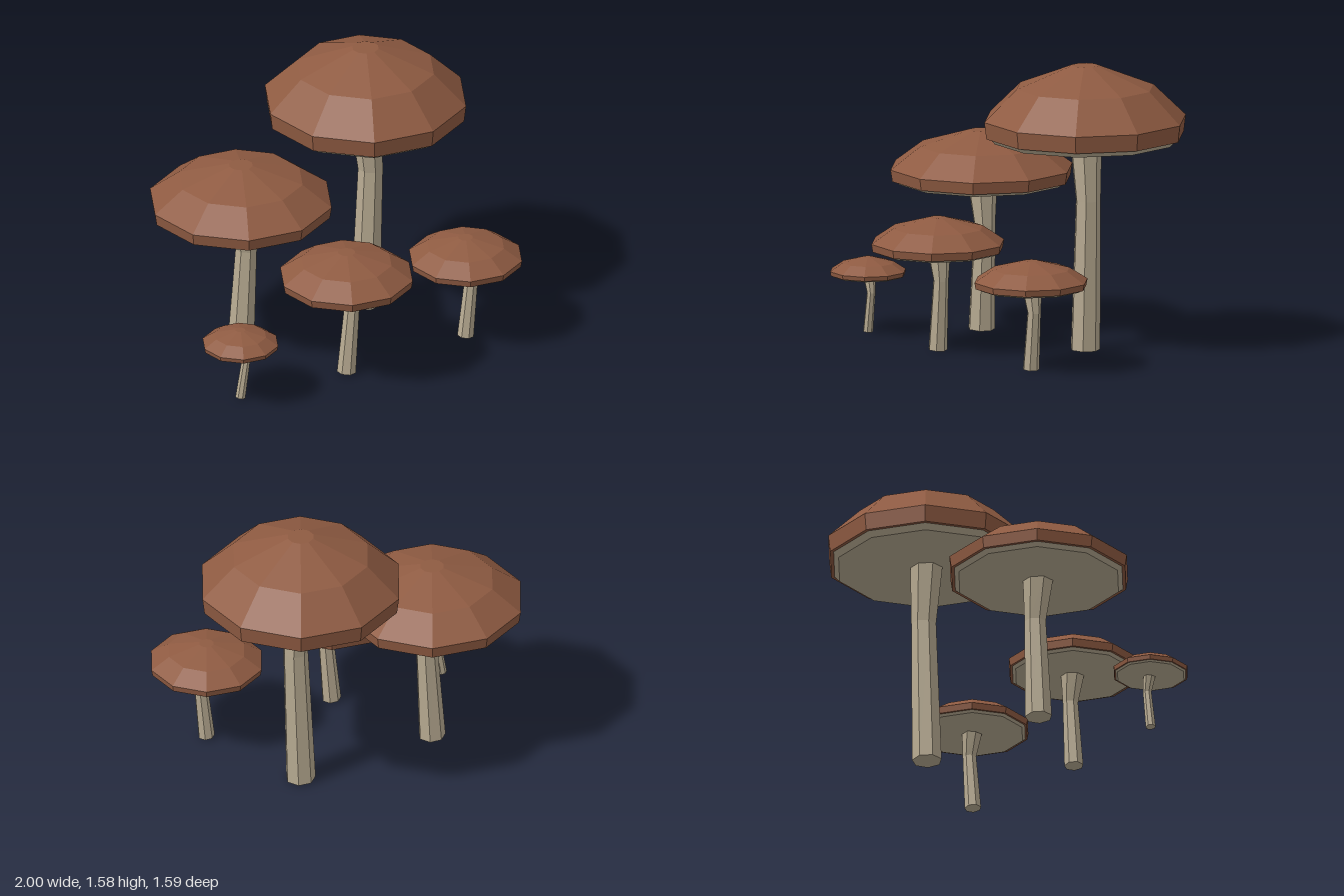
import * as THREE from 'three';

const capBrown = new THREE.MeshStandardMaterial({ color: 0x8f5b42 });
const stemCream = new THREE.MeshStandardMaterial({ color: 0xb8ab92 });

// Faceted normals: every triangle keeps its own
function faceted(geometry) {
  const g = geometry.toNonIndexed();
  g.computeVertexNormals();
  return g;
}

// Ten-sided turned solid with a corner towards +x
function turned(profile) {
  const points = profile.map(([r, y]) => new THREE.Vector2(r, y));
  return faceted(new THREE.LatheGeometry(points, 10, Math.PI / 2));
}

// Seven-sided stem through three rings, each square to the stem's lean
function bentStem(rings) {
  const g = new THREE.CylinderGeometry(1, 1, 2, 7, 2);
  const p = g.attributes.position;
  for (let i = 0; i < p.count; i++) {
    const k = Math.round(p.getY(i)) + 1;
    const { x, y, r } = rings[k];
    const a = rings[Math.max(k - 1, 0)], b = rings[Math.min(k + 1, 2)];
    const tilt = Math.atan2(b.x - a.x, b.y - a.y);
    const u = p.getX(i) * r;
    p.setXYZ(i, x + u * Math.cos(tilt), y - u * Math.sin(tilt), p.getZ(i) * r);
  }
  return faceted(g);
}

function mushroom({ x, z, capY, capH, capR, gillH, bend, top, radii }) {
  const group = new THREE.Group();
  group.name = 'mushroom';
  group.position.set(x, 0, z);
  const add = (name, geometry, material, y = 0) => {
    const mesh = new THREE.Mesh(geometry, material);
    mesh.name = name;
    mesh.position.y = y;
    group.add(mesh);
  };
  // Cap: upright rim, two sloping bands, small flat crown
  add('cap', turned([
    [0, 0], [capR * 0.98, 0], [capR, capH * 0.24],
    [capR * 0.68, capH * 0.69], [capR * 0.13, capH], [0, capH],
  ]), capBrown, capY);
  // Gill disc under the cap
  add('gills', turned([
    [0, -gillH], [capR * 0.895, -gillH], [capR * 0.945, 0], [0, 0],
  ]), stemCream, capY);
  // Stem, bowed towards +x above the middle
  const stemTop = capY - gillH / 2;
  add('stem', bentStem([
    { x: 0, y: 0.005, r: radii[0] },
    { x: bend, y: stemTop * 0.71, r: radii[1] },
    { x: top, y: stemTop, r: radii[2] },
  ]), stemCream);
  return group;
}

export function createModel() {
  const model = new THREE.Group();
  model.name = 'mushroomCluster';
  const list = [
    { x: 0.325, z: -0.255, capY: 1.195, capH: 0.39, capR: 0.565, gillH: 0.03, bend: 0.03, top: 0.003, radii: [0.083, 0.07, 0.091] },
    { x: -0.49, z: -0.08, capY: 0.842, capH: 0.27, capR: 0.51, gillH: 0.02, bend: 0.032, top: 0.005, radii: [0.075, 0.06, 0.085] },
    { x: -0.083, z: 0.44, capY: 0.56, capH: 0.18, capR: 0.372, gillH: 0.013, bend: 0.032, top: 0.012, radii: [0.053, 0.043, 0.065] },
    { x: 0.683, z: 0.302, capY: 0.462, capH: 0.147, capR: 0.317, gillH: 0.011, bend: 0.032, top: 0.008, radii: [0.046, 0.038, 0.056] },
    { x: -0.737, z: 0.495, capY: 0.32, capH: 0.1, capR: 0.212, gillH: 0.008, bend: 0.033, top: 0.012, radii: [0.028, 0.024, 0.034] },
  ];
  list.forEach((m) => model.add(mushroom(m)));
  return model;
}
